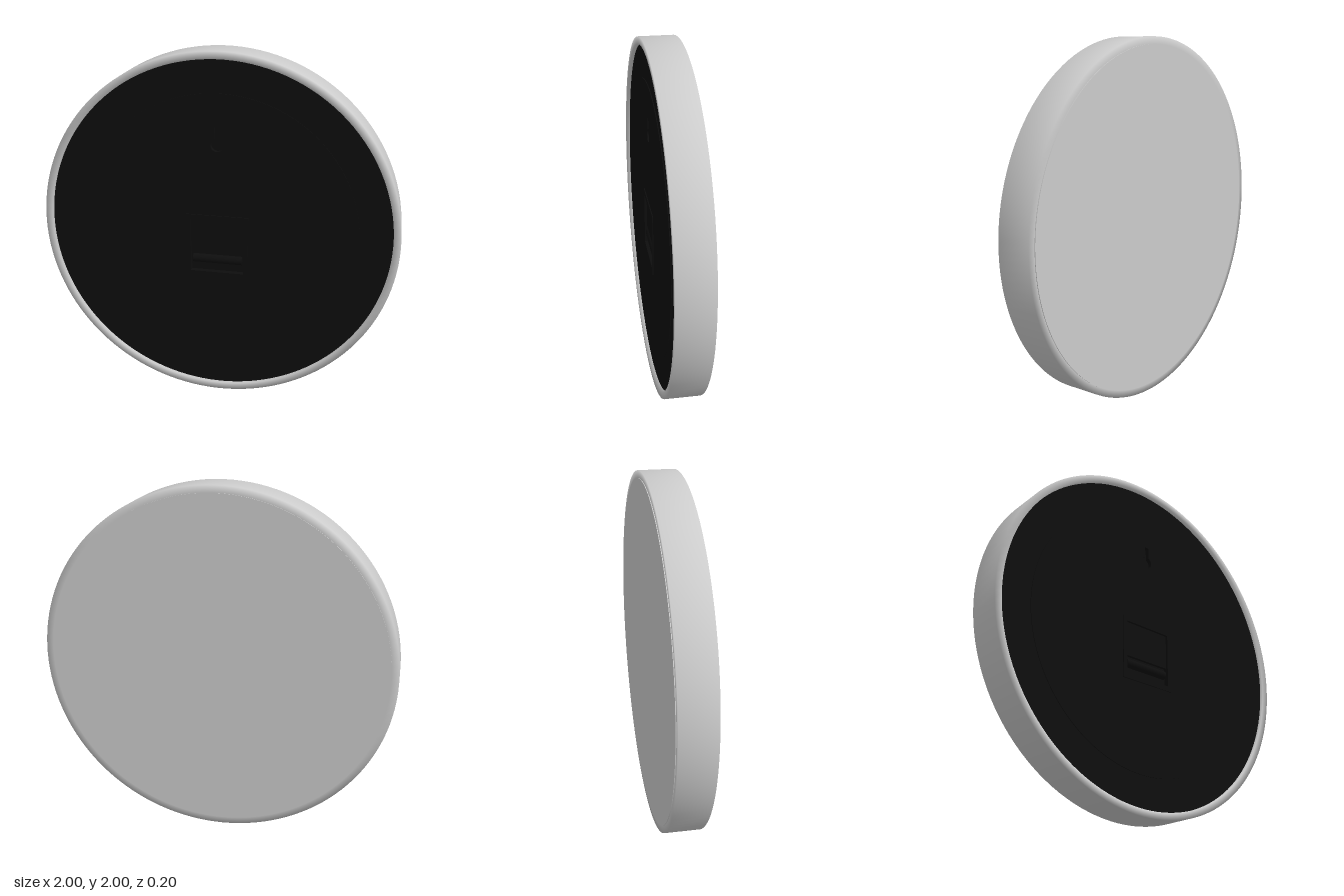
import * as THREE from 'three';

const grey = new THREE.MeshStandardMaterial({ color: 0xcccccc });
const black = new THREE.MeshStandardMaterial({ color: 0x0e0e0e });

function add(group, name, geometry, material, x = 0, y = 0, z = 0) {
  const mesh = new THREE.Mesh(geometry, material);
  mesh.name = name;
  mesh.position.set(x, y, z);
  group.add(mesh);
  return mesh;
}

function disc(radius) {
  return new THREE.Shape().absarc(0, 0, radius, 0, Math.PI * 2, false);
}

function rect(w, h, y = 0) {
  return new THREE.Shape([
    new THREE.Vector2(-w / 2, y - h / 2), new THREE.Vector2(w / 2, y - h / 2),
    new THREE.Vector2(w / 2, y + h / 2), new THREE.Vector2(-w / 2, y + h / 2),
  ]);
}

// Round hole with a narrow slot above it
function keyhole(y, r, slot, top) {
  const a = Math.asin(slot / r);
  const path = new THREE.Path();
  path.moveTo(slot, top);
  path.lineTo(-slot, top);
  path.absarc(0, y, r, Math.PI / 2 + a, Math.PI * 2.5 - a, false);
  path.closePath();
  return path;
}

function slab(shape, depth) {
  return new THREE.ExtrudeGeometry(shape, { depth, bevelEnabled: false, curveSegments: 96 });
}

export function createModel() {
  const model = new THREE.Group();
  model.name = 'wallClock';
  const body = new THREE.Group();
  body.name = 'clockBody';
  body.position.y = 1;
  model.add(body);

  // Round casing with softly shaded corners
  const profile = [[0.96, -0.096], [1, -0.096], [1, 0.1], [0.96, 0.1], [0.96, 0.07]]
    .map(([r, z]) => new THREE.Vector2(r, z));
  add(body, 'rim', new THREE.LatheGeometry(profile, 128), grey).rotation.x = Math.PI / 2;

  // Flat cover, standing slightly proud of the casing
  add(body, 'cover', slab(disc(0.96), 0.02), grey, 0, 0, -0.1);

  // Black plate with a shallow raised centre
  const boxY = -0.085;
  const base = disc(0.96);
  const centre = disc(0.78);
  for (const shape of [base, centre]) {
    shape.holes.push(rect(0.3, 0.31, boxY), keyhole(0.5, 0.035, 0.014, 0.6));
  }
  add(body, 'plate', slab(base, 0.02), black, 0, 0, 0.06);
  add(body, 'plateCentre', slab(centre, 0.004), black, 0, 0, 0.08);
  add(body, 'plateFloor', slab(disc(0.96), 0.01), black, 0, 0, 0.05);

  // Battery compartment: frame, lid and battery slot
  const frame = rect(0.35, 0.37, boxY);
  frame.holes.push(rect(0.3, 0.31, boxY));
  add(body, 'compartmentFrame', slab(frame, 0.006), black, 0, 0, 0.083);
  add(body, 'compartmentLid', new THREE.BoxGeometry(0.3, 0.2, 0.016), black, 0, -0.03, 0.068);
  const battery = add(body, 'battery', new THREE.CylinderGeometry(0.025, 0.025, 0.28, 24), black, 0, -0.17, 0.06);
  battery.rotation.z = Math.PI / 2;

  return model;
}
